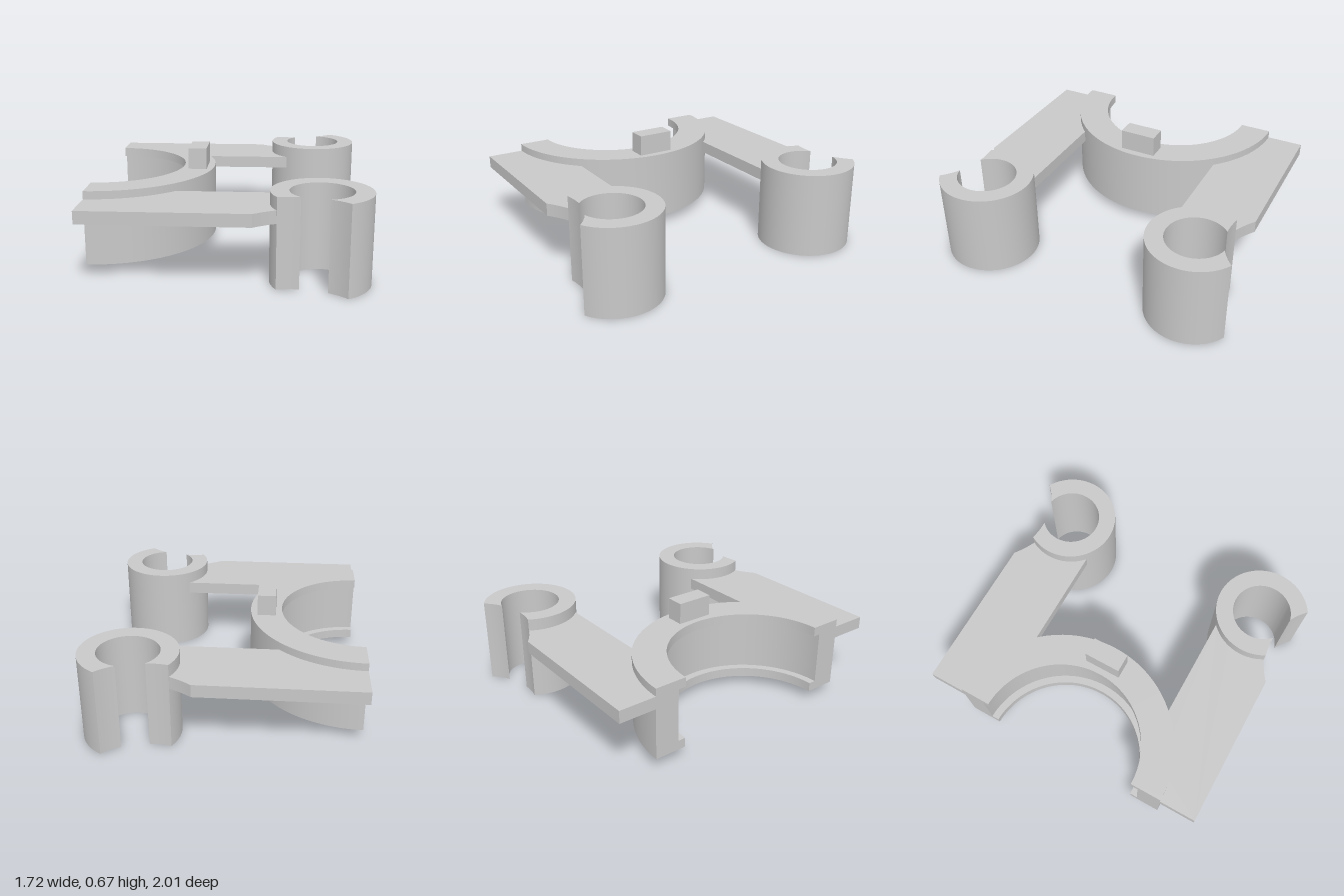
import * as THREE from 'three';
import { toCreasedNormals } from 'three/addons/utils/BufferGeometryUtils.js';

const grey = new THREE.MeshStandardMaterial({ color: 0xc8c8c8 });
grey.name = 'light grey';
const rad = THREE.MathUtils.degToRad;
const RING_X = -0.86;
const CLAMP = { x: 0.555, z: 0.735, outer: 0.305, inner: 0.192 };

function addMesh(parent, name, geometry) {
  const mesh = new THREE.Mesh(geometry, grey);
  mesh.name = name;
  parent.add(mesh);
  return mesh;
}

// Plan shape (x, distance sideways) raised from y0 to y1 on the front (side 1) or back (side -1)
function slab(shape, y0, y1, side) {
  const geo = new THREE.ExtrudeGeometry(shape, { depth: y1 - y0, bevelEnabled: false, curveSegments: 48 });
  geo.rotateX(side * Math.PI / 2).translate(0, side > 0 ? y1 : y0, 0);
  return toCreasedNormals(geo, 0.4);
}

// Open ring whose mouth edges follow a shallow scooped cut
function clampShape() {
  const { x, z, outer, inner } = CLAMP;
  const s = new THREE.Shape();
  s.absarc(x, z, outer, rad(149.7), rad(421.3), false);
  s.quadraticCurveTo(0.65, 0.95, x + inner * Math.cos(rad(78.7)), z + inner * Math.sin(rad(78.7)));
  s.absarc(x, z, inner, rad(78.7), rad(131.8 - 360), true);
  s.quadraticCurveTo(0.357, 0.874, x + outer * Math.cos(rad(149.7)), z + outer * Math.sin(rad(149.7)));
  return s;
}

// Flat arm running from the half ring to a clamp
function armShape() {
  const { x, z } = CLAMP;
  const s = new THREE.Shape();
  s.moveTo(RING_X, 0.968);
  s.lineTo(RING_X, 0.71);
  s.absarc(RING_X, 0, 0.71, Math.PI / 2, Math.asin(0.503 / 0.71), true);
  s.absarc(x, z, 0.295, rad(231.8), rad(149.7), true);
  s.quadraticCurveTo(0.225, 0.915, 0.155, 0.968);
  s.closePath();
  return s;
}

export function createModel() {
  const model = new THREE.Group();
  model.name = 'bracket';

  // Half ring with an inward lip at the top and bottom
  const ring = new THREE.Group();
  ring.name = 'halfRing';
  ring.position.x = RING_X;
  model.add(ring);
  const profile = [
    [0.521, 0.068], [0.728, 0.068], [0.728, 0.53], [0.521, 0.53],
    [0.521, 0.47], [0.57, 0.47], [0.57, 0.128], [0.521, 0.128],
  ].map(([r, y]) => new THREE.Vector2(r, y));
  const lathe = new THREE.LatheGeometry([...profile, profile[0]], 64, 0, Math.PI);
  addMesh(ring, 'ringBody', toCreasedNormals(lathe, 0.4));
  for (const side of [1, -1]) {
    const section = new THREE.Shape(profile.map((p) => new THREE.Vector2(side * p.x, p.y)));
    addMesh(ring, side > 0 ? 'leftRingEnd' : 'rightRingEnd',
      new THREE.ShapeGeometry(section).rotateY(-Math.PI / 2));
  }

  // Locating peg on top of the ring
  addMesh(model, 'peg', new THREE.BoxGeometry(0.12, 0.138, 0.24)).position.set(-0.24, 0.599, 0);

  // Mirrored arms and clamps
  for (const side of [1, -1]) {
    const label = side > 0 ? 'front' : 'back';
    addMesh(model, label + 'Arm', slab(armShape(), 0.4, 0.48, side));
    addMesh(model, label + 'Clamp', slab(clampShape(), 0, 0.558, side));
  }
  return model;
}
